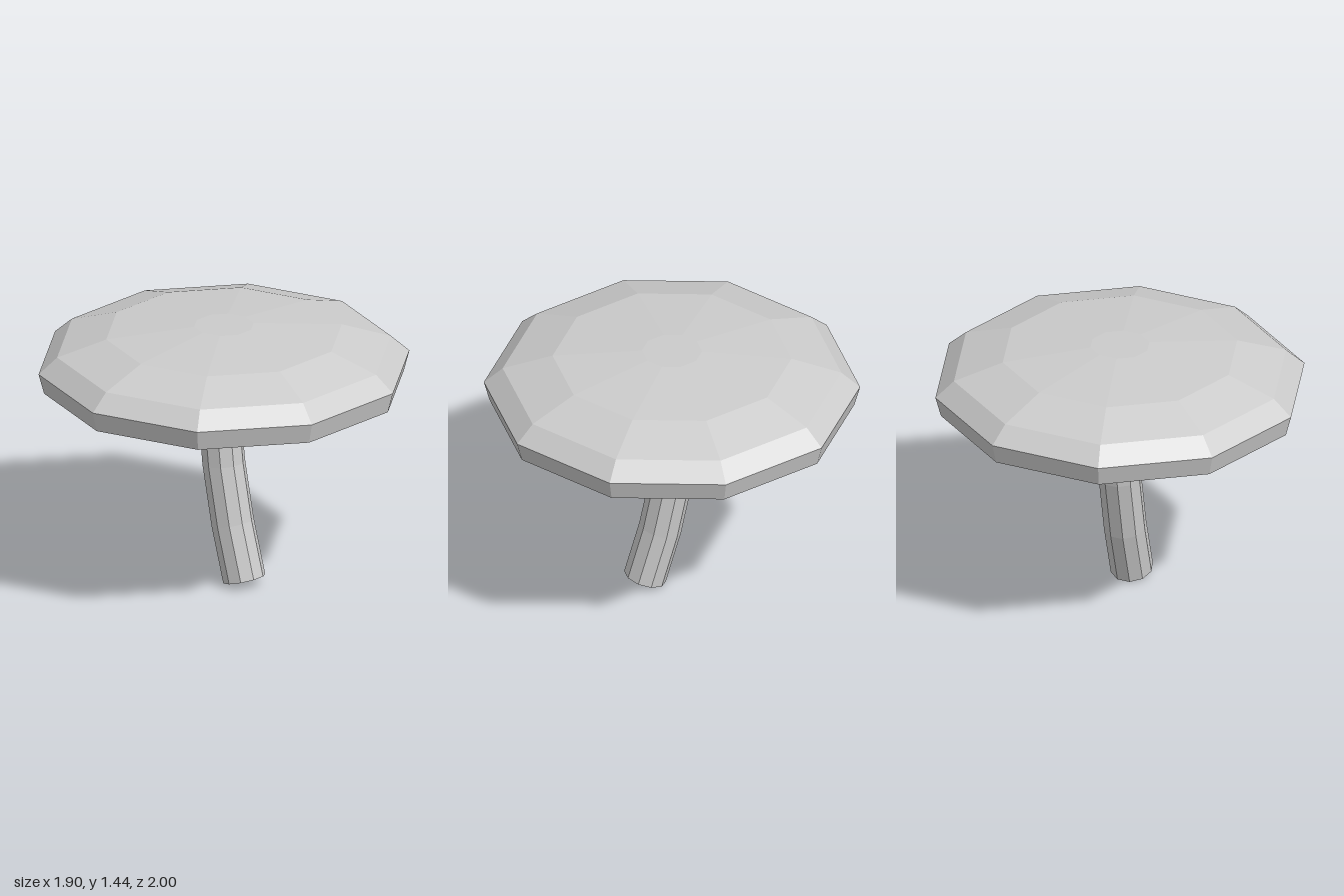
import * as THREE from 'three';

const SIDES = 10;

export function createModel() {
  const model = new THREE.Group();
  model.name = 'mushroom';
  const material = new THREE.MeshStandardMaterial({ color: 0xcccccc, flatShading: true });

  // Cap: faceted dome, profile from the underside centre up to the flat crown
  const profile = [
    [0, 1.015], [0.14, 1.015], [0.726, 1.05], [0.97, 1.118], [1, 1.23],
    [0.9, 1.32], [0.635, 1.405], [0.16, 1.445], [0, 1.445],
  ].map(([r, y]) => new THREE.Vector2(r, y));
  const cap = new THREE.Mesh(new THREE.LatheGeometry(profile, SIDES), material);
  cap.name = 'cap';
  model.add(cap);

  // Stem: cylinder whose rings follow a bent centre line, from bottom to top
  const rings = [
    { x: 0.15, y: 0.033, r: 0.115, tilt: 0.287 },
    { x: 0.065, y: 0.33, r: 0.115, tilt: 0.27 },
    { x: -0.002, y: 0.66, r: 0.115, tilt: 0.11 },
    { x: -0.02, y: 0.824, r: 0.115, tilt: 0.04 },
    { x: 0, y: 1.017, r: 0.14, tilt: 0 },
  ];
  const spans = rings.length - 1;
  const geometry = new THREE.CylinderGeometry(1, 1, spans, SIDES, spans);
  const pos = geometry.attributes.position;
  for (let i = 0; i < pos.count; i++) {
    const ring = rings[Math.round(pos.getY(i) + spans / 2)];
    const across = pos.getX(i) * ring.r;
    pos.setXYZ(
      i,
      ring.x + across * Math.cos(ring.tilt),
      ring.y + across * Math.sin(ring.tilt),
      pos.getZ(i) * ring.r,
    );
  }
  geometry.computeVertexNormals();
  const stem = new THREE.Mesh(geometry, material);
  stem.name = 'stem';
  model.add(stem);

  return model;
}
